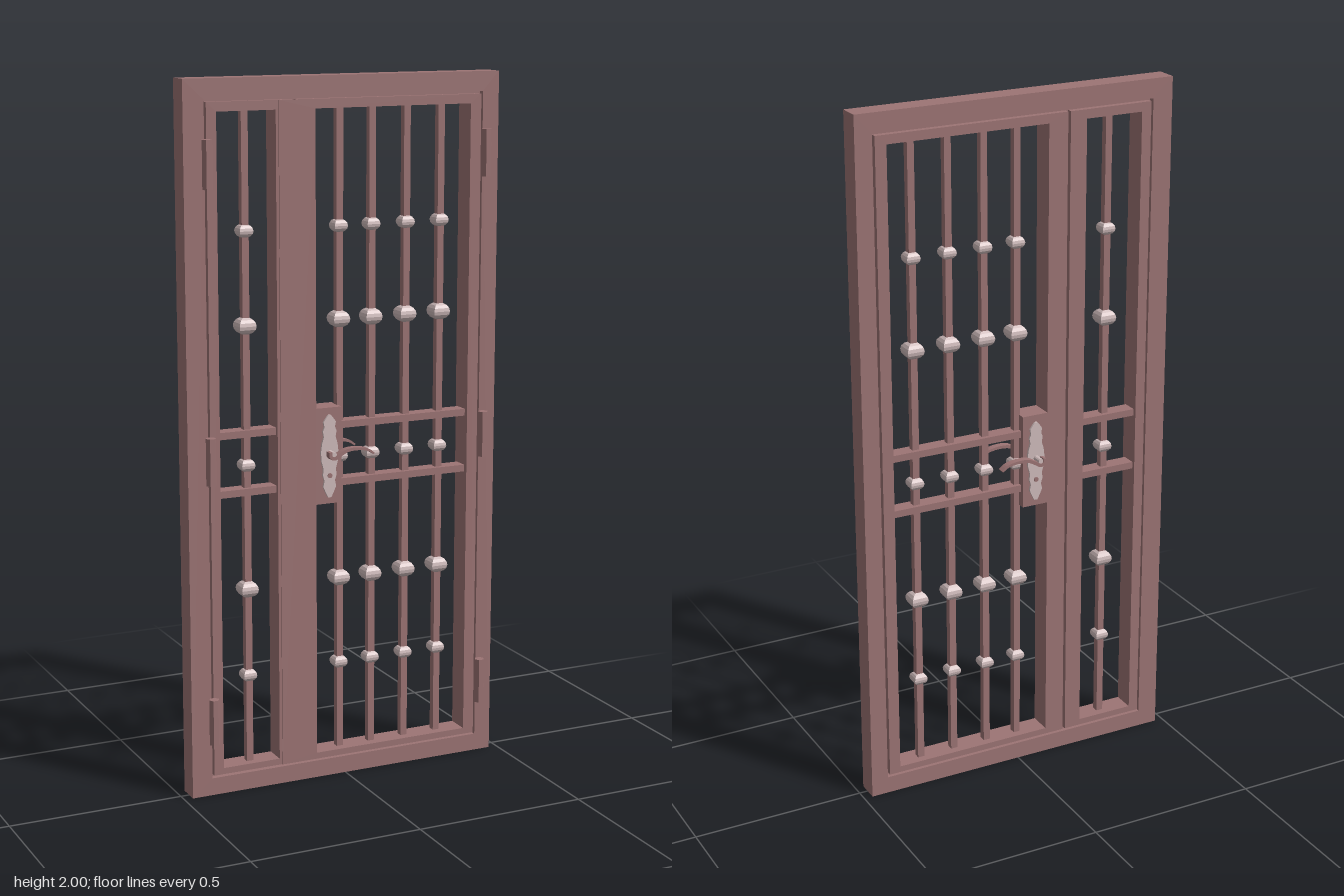
import * as THREE from 'three';

const paint = new THREE.MeshStandardMaterial({ color: 0x9c7474, flatShading: true });
const metal = new THREE.MeshStandardMaterial({ color: 0xd0bcbc, flatShading: true });
const BACK = -0.035, FRONT = 0.03, MID = (BACK + FRONT) / 2;

function add(parent, name, geometry, material = paint) {
  const mesh = new THREE.Mesh(geometry, material);
  mesh.name = name;
  parent.add(mesh);
  return mesh;
}

// Box given by its limits
function box(parent, name, x0, x1, y0, y1, z0 = BACK, z1 = FRONT, material = paint) {
  const mesh = add(parent, name, new THREE.BoxGeometry(x1 - x0, y1 - y0, z1 - z0), material);
  mesh.position.set((x0 + x1) / 2, (y0 + y1) / 2, (z0 + z1) / 2);
  return mesh;
}

// Rectangular ring: outer and inner limits are [x0, x1, y0, y1]
function ring(parent, name, outer, inner, z0, z1) {
  const rect = (C, [x0, x1, y0, y1]) => new C([[x0, y0], [x1, y0], [x1, y1], [x0, y1]]
    .map(([x, y]) => new THREE.Vector2(x, y)));
  const shape = rect(THREE.Shape, outer);
  shape.holes.push(rect(THREE.Path, inner));
  const geometry = new THREE.ExtrudeGeometry(shape, { depth: z1 - z0, bevelEnabled: false });
  add(parent, name, geometry.translate(0, 0, z0));
}

// Four-sided knob with a round profile
function knobGeometry(r) {
  const profile = [];
  for (let i = 0; i <= 8; i++) {
    const a = -Math.PI / 2 + (i / 8) * Math.PI;
    profile.push(new THREE.Vector2(Math.max(0, Math.cos(a)) * r * Math.SQRT2, Math.sin(a) * r));
  }
  return new THREE.LatheGeometry(profile, 4, Math.PI / 4);
}

// Square bar with its row of knobs
function knobbedBar(parent, x) {
  const bar = new THREE.Group();
  bar.name = 'knobbedBar';
  box(bar, 'bar', x - 0.01, x + 0.01, 0.07, 1.92, MID - 0.01, MID + 0.01);
  for (const [y, r] of [[0.33, 0.02], [0.582, 0.025], [0.938, 0.02], [1.328, 0.025], [1.588, 0.02]]) {
    add(bar, 'knob', knobGeometry(r), metal).position.set(x, y, MID);
  }
  parent.add(bar);
}

function crossRails(parent, x0, x1) {
  for (const y of [0.865, 1.03]) box(parent, 'crossRail', x0, x1, y - 0.01, y + 0.01, MID - 0.022, MID + 0.022);
}

// Scalloped plate, spindle, lever and key cylinder for one face
function handleSet() {
  const set = new THREE.Group();
  const half = [[0.004, 0.118], [0.012, 0.108], [0.019, 0.098], [0.016, 0.084], [0.021, 0.072], [0.018, 0.056],
    [0.024, 0.036], [0.027, 0.012], [0.025, -0.014], [0.019, -0.036], [0.021, -0.054], [0.016, -0.07],
    [0.02, -0.086], [0.013, -0.102], [0.005, -0.118]];
  const outline = [...half, ...half.map(([x, y]) => [-x, y]).reverse()];
  const plate = new THREE.Shape(outline.map(([x, y]) => new THREE.Vector2(x, y)));
  add(set, 'handlePlate', new THREE.ExtrudeGeometry(plate, { depth: 0.006, bevelEnabled: false }), metal);

  const spindle = add(set, 'spindle', new THREE.CylinderGeometry(0.008, 0.008, 0.036, 12).rotateX(Math.PI / 2), metal);
  spindle.position.set(0, 0.01, 0.018);

  // Curved lever: a tapering band along a wave, with a curl round the spindle
  const path = new THREE.CatmullRomCurve3([[-0.011, 0.018], [-0.01, 0.004], [0.002, -0.001], [0.014, 0.006],
    [0.04, 0.019], [0.075, 0.021], [0.105, 0.015], [0.123, 0.003]].map(([x, y]) => new THREE.Vector3(x, y, 0)));
  const upper = [], lower = [];
  for (let i = 0; i <= 24; i++) {
    const t = i / 24, p = path.getPoint(t), d = path.getTangent(t);
    const w = 0.0015 + 0.0035 * Math.sin(Math.PI * Math.min(1, t * 0.6 + 0.3));
    upper.push(new THREE.Vector2(p.x - d.y * w, p.y + d.x * w));
    lower.unshift(new THREE.Vector2(p.x + d.y * w, p.y - d.x * w));
  }
  const band = new THREE.Shape([...upper, ...lower]);
  const lever = add(set, 'lever', new THREE.ExtrudeGeometry(band, { depth: 0.02, bevelEnabled: false }));
  lever.position.z = 0.018;

  const key = add(set, 'keyCylinder', new THREE.CylinderGeometry(0.007, 0.007, 0.009, 12).rotateX(Math.PI / 2));
  key.position.set(0, -0.055, 0.0045);
  return set;
}

export function createModel() {
  const door = new THREE.Group();
  door.name = 'securityDoor';

  // Fixed frame, with a stop closing the gap round the leaves
  ring(door, 'outerFrame', [-0.475, 0.475, 0, 2], [-0.415, 0.425, 0.05, 1.945], BACK, FRONT);
  ring(door, 'frameStop', [-0.42, 0.43, 0.045, 1.95], [-0.4, 0.41, 0.065, 1.93], MID - 0.015, MID + 0.015);

  // Narrow fixed leaf
  const narrow = new THREE.Group();
  narrow.name = 'narrowLeaf';
  ring(narrow, 'leafFrame', [-0.409, -0.158, 0.057, 1.938], [-0.38, -0.208, 0.075, 1.912], BACK, FRONT);
  knobbedBar(narrow, -0.29);
  crossRails(narrow, -0.385, -0.2);
  door.add(narrow);

  // Wide opening leaf with a thin lip overlapping the narrow one
  const wide = new THREE.Group();
  wide.name = 'wideLeaf';
  ring(wide, 'leafFrame', [-0.15, 0.418, 0.057, 1.938], [-0.092, 0.385, 0.075, 1.912], BACK, FRONT);
  ring(wide, 'frontLip', [-0.2, 0.418, 0.057, 1.938], [-0.092, 0.385, 0.075, 1.912], FRONT, FRONT + 0.003);
  for (const x of [-0.007, 0.093, 0.2, 0.307]) knobbedBar(wide, x);
  crossRails(wide, -0.02, 0.39);
  box(wide, 'lockBox', -0.095, -0.014, 0.81, 1.085, BACK, FRONT + 0.002);
  box(wide, 'centreSeal', -0.16, -0.148, 0.057, 1.938, MID - 0.01, MID + 0.02);
  door.add(wide);

  // Handles on both faces
  const front = handleSet();
  front.name = 'frontHandle';
  front.position.set(-0.053, 0.947, FRONT + 0.002);
  const back = handleSet();
  back.name = 'backHandle';
  back.position.set(-0.053, 0.947, BACK);
  // Mirror in depth; three.js corrects the winding of negative scales
  back.scale.z = -1;
  door.add(front, back);

  // Six-sided hinge barrels
  for (const x of [-0.413, 0.43]) {
    for (const y of [0.222, 0.968, 1.775]) {
      const hinge = add(door, 'hinge', new THREE.CylinderGeometry(0.015, 0.015, 0.132, 6, 1, false, Math.PI / 2));
      hinge.position.set(x, y, 0.045);
    }
  }
  return door;
}
